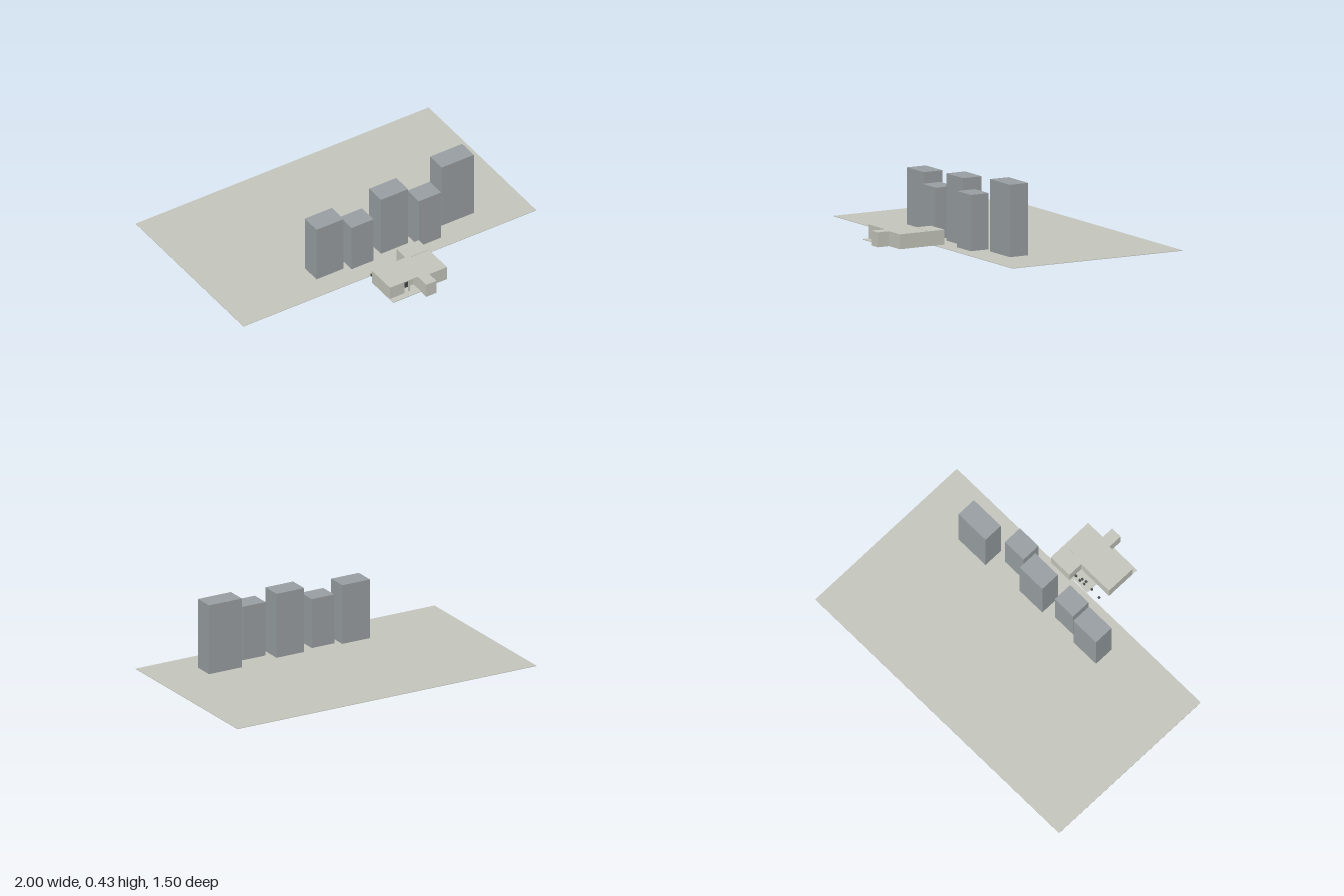
import * as THREE from 'three';

const material = (name, color) => {
  const m = new THREE.MeshStandardMaterial({ color });
  m.name = name;
  return m;
};

export function createModel() {
  const group = new THREE.Group();
  const stone = material('pale stone', 0xc6c8be);
  const slate = material('slate grey', 0x9aa0a4);
  const dark = material('dark grey', 0x45494a);

  // Box given by its lower and upper limits on each axis
  const box = (name, mat, x0, x1, y0, y1, z0, z1, parent = group) => {
    const mesh = new THREE.Mesh(new THREE.BoxGeometry(x1 - x0, y1 - y0, z1 - z0), mat);
    mesh.position.set((x0 + x1) / 2, (y0 + y1) / 2, (z0 + z1) / 2);
    mesh.name = name;
    parent.add(mesh);
    return mesh;
  };

  // Ground sheet
  box('ground', stone, -1, 1, 0, 0.003, -0.75, 0.39);

  // Towers: x range, height, z range
  const towers = [
    [-0.41, -0.225, 0.363, 0.125, 0.25],
    [-0.19, -0.04, 0.303, 0.157, 0.28],
    [0.03, 0.215, 0.395, 0.125, 0.25],
    [0.25, 0.402, 0.331, 0.19, 0.31],
    [0.465, 0.685, 0.425, 0.095, 0.218],
  ];
  towers.forEach(([x0, x1, h, z0, z1], i) => box('tower' + (i + 1), slate, x0, x1, 0.002, h, z0, z1));

  // Low house: floor slab, roof and rooms
  const house = new THREE.Group();
  house.name = 'house';
  group.add(house);
  const lo = 0.018, floor = 0.022, eave = 0.1, top = 0.105;
  box('floorSlab', stone, -0.17, 0.09, lo, floor, 0.465, 0.69, house);
  box('terrace', stone, -0.07, 0.06, lo, floor, 0.39, 0.465, house);
  box('mainRoof', stone, -0.17, 0.09, eave, top, 0.465, 0.655, house);
  box('leftRoom', stone, -0.17, -0.07, floor, eave, 0.465, 0.653, house);
  box('hall', stone, -0.07, 0.09, floor, eave, 0.465, 0.61, house);
  box('entrancePorch', stone, 0.02, 0.09, lo, top, 0.61, 0.745, house);
  box('rightRoom', stone, 0.09, 0.21, lo, top, 0.48, 0.67, house);
  box('backRoom', stone, 0.058, 0.21, lo, top, 0.37, 0.475, house);
  box('roomJoint', stone, 0.09, 0.208, lo, 0.102, 0.474, 0.482, house);

  // Door in the recess and the post beside it
  box('door', dark, -0.04, -0.02, floor, 0.08, 0.61, 0.613, house);
  box('porchPost', stone, -0.04, -0.032, floor, eave, 0.643, 0.651, house);

  // Small terrace furniture
  const seats = [[-0.14, 0.415], [-0.075, 0.42], [-0.02, 0.412], [-0.018, 0.43], [0.008, 0.425], [0.012, 0.41], [0.048, 0.413]];
  for (const [x, z] of seats) {
    box('terraceSeat', dark, x - 0.006, x + 0.006, floor, floor + 0.014, z - 0.005, z + 0.005, house);
  }
  return group;
}
